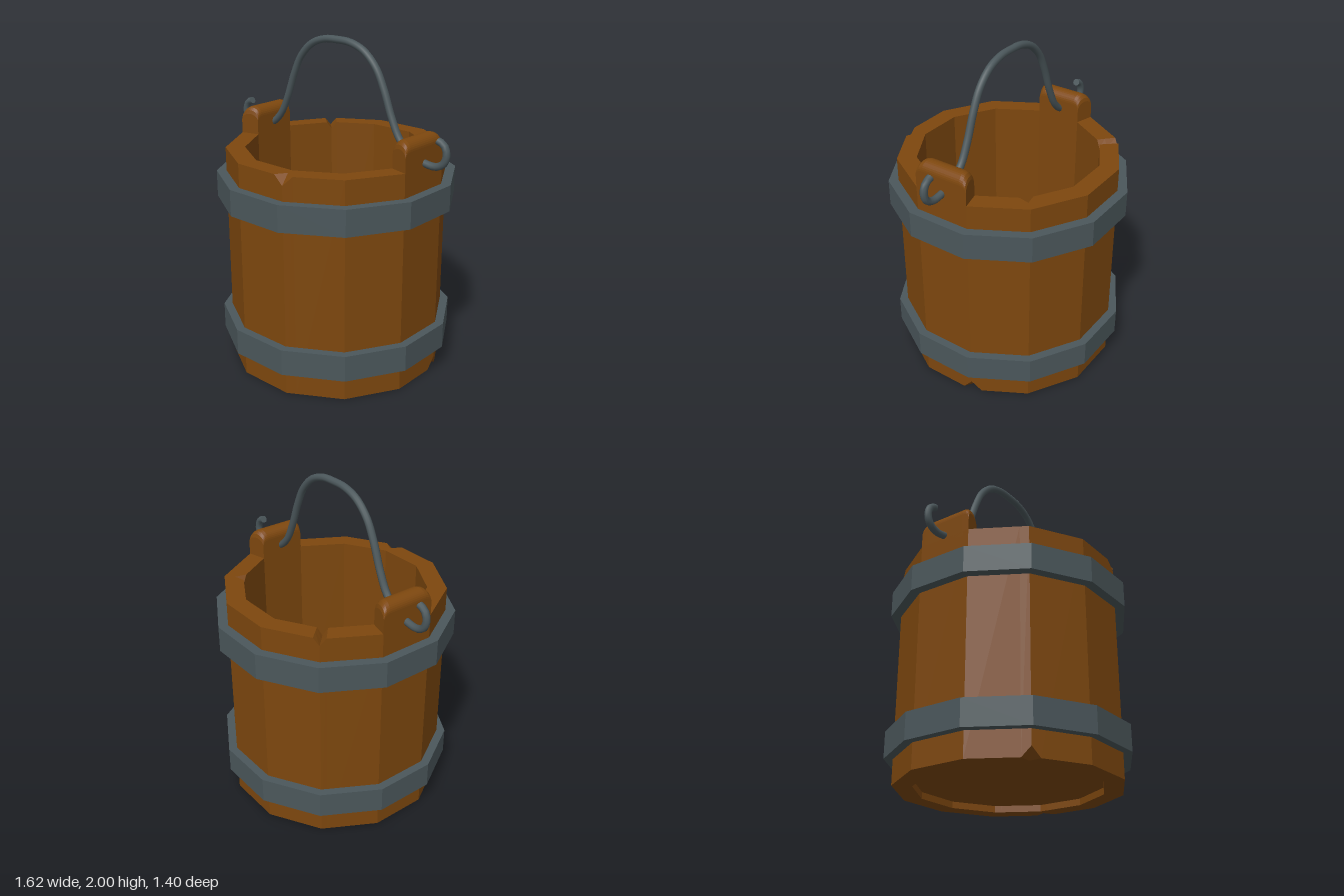
import * as THREE from 'three';

const RAD = Math.PI / 180;
const SIDES = 12;
const HEIGHT = 1.345, OUTER = 0.645, INNER = 0.533; // radii measured to the flats
const CORNER = 1 / Math.cos(15 * RAD);

// Chips at the corners: angle, half width in degrees, lift of each profile point
// (outer bottom, outer top, mid top, inner top, inner bottom, mid bottom)
const CHIPS = [
  { angle: 15, half: 5, lift: [0, -0.055, 0, 0, 0, 0] },
  { angle: 105, half: 5, lift: [0.07, 0, 0, 0, 0, 0] },
  { angle: 135, half: 4, lift: [0, 0, 0, -0.045, 0, 0] },
  { angle: 225, half: 3.2, lift: [0, -0.045, -0.045, -0.045, 0, 0] },
  { angle: 315, half: 4.5, lift: [0.06, 0, 0, 0, 0, 0] },
];

// Twelve-sided stave wall made of a closed profile swept around y
function wallGeometry() {
  const none = [0, 0, 0, 0, 0, 0];
  const sections = [];
  for (let k = 0; k < SIDES; k++) {
    const angle = 15 + 30 * k;
    const chip = CHIPS.find((c) => c.angle === angle);
    if (chip) sections.push({ angle: angle - chip.half, lift: none });
    sections.push({ angle, lift: chip ? chip.lift : none });
    if (chip) sections.push({ angle: angle + chip.half, lift: none });
  }
  const mid = OUTER - 0.065;
  const profile = [[OUTER, 0], [OUTER, HEIGHT], [mid, HEIGHT], [INNER, HEIGHT], [INNER, 0], [mid, 0]];
  const n = profile.length;
  const positions = [], index = [];
  for (const { angle, lift } of sections) {
    const offset = angle - 30 * Math.round(angle / 30);
    const stretch = 1 / Math.cos(offset * RAD);
    profile.forEach(([r, y], j) => positions.push(
      r * stretch * Math.sin(angle * RAD), y + lift[j], r * stretch * Math.cos(angle * RAD)));
  }
  const count = sections.length;
  for (let i = 0; i < count; i++) {
    const i2 = (i + 1) % count;
    for (let j = 0; j < n; j++) {
      const j2 = (j + 1) % n;
      const a = i * n + j, b = i2 * n + j, c = i2 * n + j2, d = i * n + j2;
      // keep the crease of a chip clear of the chipped corner
      if (sections[i].lift[j] || sections[i2].lift[j2]) index.push(a, b, d, b, c, d);
      else index.push(a, b, c, a, c, d);
    }
  }
  const geometry = new THREE.BufferGeometry();
  geometry.setAttribute('position', new THREE.Float32BufferAttribute(positions, 3));
  geometry.setIndex(index);
  geometry.computeVertexNormals();
  return geometry;
}

// Twelve-sided hoop with a rectangular section
function hoopGeometry(bottom, top, radius) {
  const ri = (OUTER - 0.01) * CORNER, ro = radius * CORNER;
  const points = [[ri, bottom], [ro, bottom], [ro, top], [ri, top], [ri, bottom]]
    .map(([x, y]) => new THREE.Vector2(x, y));
  return new THREE.LatheGeometry(points, SIDES, 15 * RAD);
}

// Raised lug on the +x side: arched section, rounded upper ends, wider outside
function lugGeometry() {
  const base = HEIGHT - 0.03, rise = 0.2, half = 0.174, round = 0.045;
  const width = OUTER - INNER, r = width / 2;
  const shape = new THREE.Shape();
  shape.moveTo(INNER, 0);
  shape.lineTo(OUTER, 0);
  shape.lineTo(OUTER, rise - r);
  shape.absarc(INNER + r, rise - r, r, 0, Math.PI, false);
  shape.lineTo(INNER, 0);
  const geometry = new THREE.ExtrudeGeometry(shape, { depth: 7, steps: 7, bevelEnabled: false, curveSegments: 8 });
  const p = geometry.attributes.position;
  for (let i = 0; i < p.count; i++) {
    const k = Math.round(p.getZ(i));
    const side = k < 4 ? -1 : 1;
    const a = (k < 4 ? k : 7 - k) * 30 * RAD;
    const z = half - round + round * Math.cos(a);
    const top = rise - round * (1 - Math.sin(a));
    const taper = p.getX(i) / OUTER;
    p.setXYZ(i, p.getX(i), base + p.getY(i) * top / rise, side * z * taper);
  }
  geometry.computeVertexNormals();
  return geometry;
}

export function createModel() {
  const model = new THREE.Group();
  model.name = 'bucket';
  const wood = new THREE.MeshStandardMaterial({ color: 0x7d470e, flatShading: true });
  const iron = new THREE.MeshStandardMaterial({ color: 0x4b575b, flatShading: true });
  const smoothIron = new THREE.MeshStandardMaterial({ color: 0x4b575b });

  const add = (name, geometry, material) => {
    const mesh = new THREE.Mesh(geometry, material);
    mesh.name = name;
    model.add(mesh);
    return mesh;
  };

  // Wooden body
  add('staveWall', wallGeometry(), wood);
  const floorRadius = (INNER + 0.005) * CORNER;
  add('floor', new THREE.CylinderGeometry(floorRadius, floorRadius, 0.07, SIDES, 1, false, 15 * RAD), wood)
    .position.y = 0.075;
  add('leftLug', lugGeometry(), wood);
  add('rightLug', lugGeometry(), wood).rotation.y = Math.PI;

  // Iron hoops
  add('upperHoop', hoopGeometry(1.04, 1.2, 0.702), iron);
  add('lowerHoop', hoopGeometry(0.15, 0.31, 0.695), iron);

  // Shift the body very slightly against the handle
  model.children.forEach((part) => { part.position.x += 0.003; });

  // Bent wire handle with hooked ends
  const halfPath = [
    [0.1, 1.972], [0.2, 1.935], [0.29, 1.85], [0.35, 1.735], [0.41, 1.58], [0.47, 1.465], [0.54, 1.4],
    [0.63, 1.367], [0.72, 1.357], [0.773, 1.385], [0.79, 1.44], [0.77, 1.49], [0.73, 1.508],
  ];
  const points = [
    ...halfPath.map(([x, y]) => [-x, y]).reverse(), [0, 1.978], ...halfPath,
  ].map(([x, y]) => new THREE.Vector3(x, y, -0.005));
  const curve = new THREE.CatmullRomCurve3(points);
  const wire = 0.022;
  add('handle', new THREE.TubeGeometry(curve, 96, wire, 10), smoothIron);
  for (const t of [0, 1]) {
    const cap = add(t ? 'leftHookEnd' : 'rightHookEnd', new THREE.CircleGeometry(wire, 10), smoothIron);
    const outward = curve.getTangent(t).multiplyScalar(t ? 1 : -1);
    cap.position.copy(curve.getPoint(t));
    cap.quaternion.setFromUnitVectors(new THREE.Vector3(0, 0, 1), outward);
  }
  return model;
}
